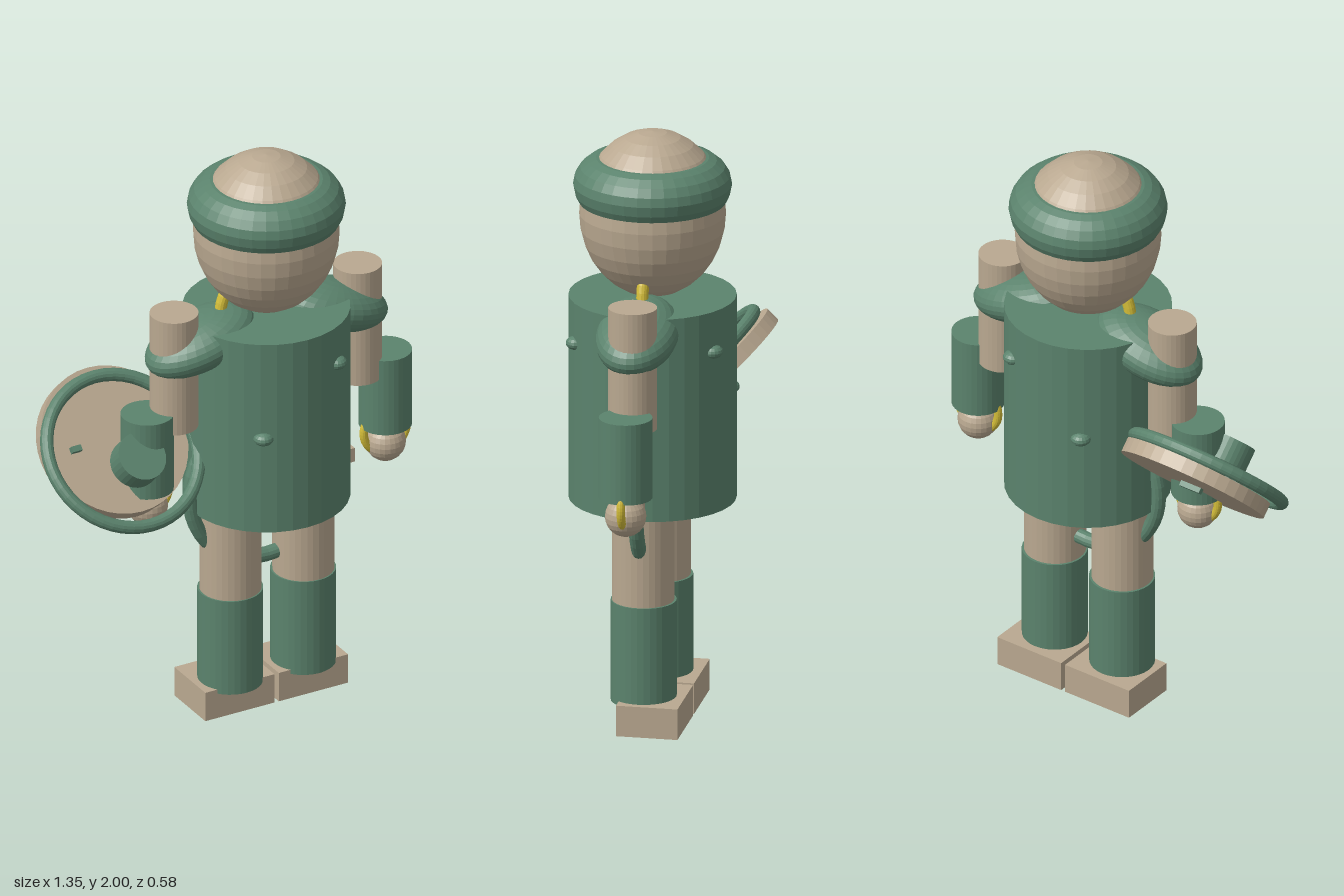
import * as THREE from 'three';

const green = new THREE.MeshStandardMaterial({ color: 0x5b836d });
green.name = 'armour green';
const tan = new THREE.MeshStandardMaterial({ color: 0xb9a890 });
tan.name = 'warm tan';
const yellow = new THREE.MeshStandardMaterial({ color: 0xd2bc38 });
yellow.name = 'trim yellow';

const CX = 0.13, CZ = 0.016; // axis of the body

// Faceted mesh, added to its parent with a name
function add(parent, name, geometry, material, x, y, z) {
  const g = geometry.index ? geometry.toNonIndexed() : geometry;
  g.computeVertexNormals();
  const mesh = new THREE.Mesh(g, material);
  mesh.name = name;
  mesh.position.set(x, y, z);
  parent.add(mesh);
  return mesh;
}

const cyl = (r, h, n = 32) => new THREE.CylinderGeometry(r, r, h, n);
const ball = (rx, ry, rz, n = 32) => new THREE.SphereGeometry(1, n, n / 2).scale(rx, ry, rz);
const ring = (R, r) => new THREE.TorusGeometry(R, r, 14, 48);
const box = (w, h, d) => new THREE.BoxGeometry(w, h, d);

export function createModel() {
  const model = new THREE.Group();
  model.name = 'figure';

  // Head and helmet band
  add(model, 'head', ball(0.24, 0.28, 0.24), tan, CX, 1.72, CZ);
  const band = [[0.225, 1.76], [0.241, 1.762], [0.253, 1.785], [0.26, 1.82], [0.254, 1.85],
    [0.237, 1.878], [0.21, 1.9], [0.185, 1.91], [0.165, 1.911]];
  add(model, 'helmetBand', new THREE.LatheGeometry(band.map(p => new THREE.Vector2(...p)), 36),
    green, CX, 0, CZ);
  add(model, 'neckRing', ring(0.173, 0.02), yellow, CX, 1.45, CZ);

  // Torso with rivets on the front and back
  add(model, 'torso', cyl(0.275, 0.695), green, CX, 1.0925, CZ);
  for (const s of [1, -1]) {
    for (const [x, y] of [[0.135, 1.3], [-0.14, 1.09]]) {
      add(model, 'rivet', ball(0.034, 0.023, 0.034, 16), green, CX + x, y, CZ + s * 0.228);
    }
  }

  // Hip hoop with its buckle
  add(model, 'hipHoop', ring(0.287, 0.025), green, CX, 0.805, CZ);
  add(model, 'buckle', box(0.055, 0.05, 0.06), tan, 0.418, 0.815, CZ);

  // Arms and legs, mirrored about the body axis
  for (const s of [1, -1]) {
    const side = s > 0 ? 'left' : 'right';
    const arm = new THREE.Group();
    arm.name = side + 'Arm';
    model.add(arm);
    add(arm, 'shoulderPad', ball(0.2, 0.085, 0.135), green, CX + s * 0.25, 1.38, CZ)
      .rotation.z = -s * 0.3;
    add(arm, 'upperArm', cyl(0.08, 0.415), tan, CX + s * 0.345, 1.2975, CZ - 0.003);
    add(arm, 'forearm', cyl(0.088, 0.275), green, CX + s * 0.447, 1.0225, CZ);
    add(arm, 'hand', ball(0.068, 0.068, 0.068, 24), tan, CX + s * 0.447, 0.82, CZ);
    add(arm, 'wristRing', ring(0.081, 0.014), yellow, CX + s * 0.447, 0.865, CZ);

    const leg = new THREE.Group();
    leg.name = side + 'Leg';
    model.add(leg);
    add(leg, 'thigh', cyl(0.102, 0.34), tan, CX + s * 0.137, 0.585, 0.02);
    add(leg, 'boot', cyl(0.108, 0.345), green, CX + s * 0.137, 0.2625, 0.018);
    add(leg, 'foot', box(0.26, 0.105, 0.205), tan, CX + s * 0.138, 0.0525, -0.018);
  }

  // Shield: plate, rim and boss, each leaning back by the same angle
  const shield = new THREE.Group();
  shield.name = 'shield';
  shield.position.set(-0.388, 1.02, 0);
  model.add(shield);
  const lean = Math.PI / 4;
  add(shield, 'plate', cyl(0.257, 0.05, 40), tan, 0, 0, -0.092).rotation.x = lean;
  add(shield, 'rim', ring(0.265, 0.022), green, 0, 0, -0.022).rotation.x = -lean;
  add(shield, 'boss', cyl(0.083, 0.08), green, 0, 0.015, 0.08).rotation.x = lean;

  // Strap ends on the front of the plate, grip bar on its back
  for (const s of [1, -1]) {
    add(shield, 'strapEnd', box(0.035, 0.03, 0.02), green, s * 0.15, 0.022, -0.07).rotation.x = lean;
  }
  add(shield, 'gripBar', box(0.08, 0.024, 0.02), green, 0, -0.022, -0.114).rotation.x = lean;

  return model;
}
